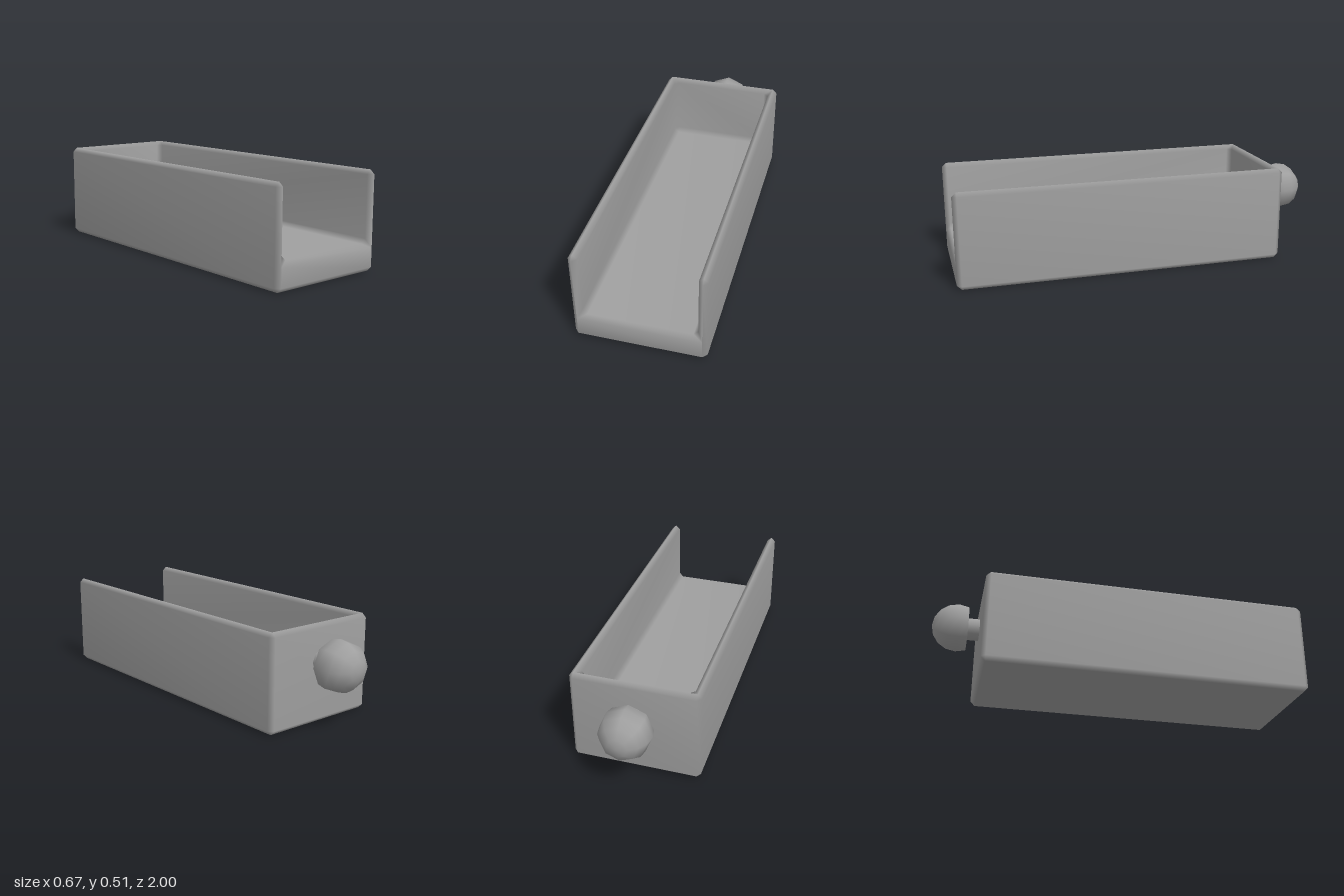
import * as THREE from 'three';
import { mergeVertices } from 'three/addons/utils/BufferGeometryUtils.js';

// Mirrors a half section [x, y, z] from the +x rim down to the floor and up to the -x rim
const mirrored = (half) => [...half, ...half.slice().reverse().map(([x, y, z]) => [-x, y, z])];
const section = (z, half) => mirrored(half.map(([x, y, pz]) => [x, y, pz ?? z]));

function createTrayGeometry() {
  const tris = [];
  const quad = (a, b, c, d) => tris.push(...a, ...b, ...c, ...a, ...c, ...d);
  const loft = (stations, inward) => {
    for (let s = 0; s < stations.length - 1; s++) {
      const p = stations[s], q = stations[s + 1];
      for (let i = 0; i < p.length - 1; i++) {
        if (inward) quad(p[i], q[i], q[i + 1], p[i + 1]);
        else quad(p[i], p[i + 1], q[i + 1], q[i]);
      }
    }
  };
  const panel = (x0, y0, z0, x1, y1, z1) =>
    quad([-x0, y0, z0], [-x1, y1, z1], [x1, y1, z1], [x0, y0, z0]);

  // Outer skin with chamfered ends
  const outer = [[0.311, 0.507], [0.333, 0.485], [0.333, 0.024], [0.311, 0]];
  const outerEnd = [[0.311, 0.485], [0.311, 0.485], [0.311, 0.024], [0.311, 0.024]];
  loft([section(1, outerEnd), section(0.976, outer), section(-0.726, outer), section(-0.75, outerEnd)], false);

  // Inner skin, open at the front, its rim meeting the back wall's ridge
  const ridge = [0.311, 0.507, -0.726];
  const innerSides = [[0.287, 0.485], [0.287, 0.167], [0.263, 0.143]];
  const innerFront = [[0.311, 0.485], [0.311, 0.485], [0.311, 0.12], [0.311, 0.12]];
  const innerBack = [ridge, [0.263, 0.485], [0.263, 0.167], [0.263, 0.167]];
  loft([
    section(1, innerFront),
    section(0.976, [[0.311, 0.507], ...innerSides]),
    section(-0.676, [ridge, ...innerSides]),
    section(-0.7, innerBack),
  ], true);

  // Floor's front edge, back wall's inner face, rim slopes and outer face
  panel(0.311, 0.12, 1, 0.311, 0.024, 1);
  panel(0.263, 0.485, -0.7, 0.263, 0.167, -0.7);
  panel(...ridge, 0.263, 0.485, -0.7);
  panel(0.311, 0.485, -0.75, ...ridge);
  panel(0.311, 0.024, -0.75, 0.311, 0.485, -0.75);

  const geometry = new THREE.BufferGeometry();
  geometry.setAttribute('position', new THREE.Float32BufferAttribute(tris, 3));
  const welded = mergeVertices(geometry, 1e-4);
  welded.computeVertexNormals();
  return welded;
}

export function createModel() {
  const group = new THREE.Group();
  const material = new THREE.MeshStandardMaterial({ color: 0x9f9f9f });
  const add = (name, geometry, z = 0, parent = group) => {
    const mesh = new THREE.Mesh(geometry, material);
    mesh.name = name;
    mesh.position.z = z;
    parent.add(mesh);
  };

  add('drawerTray', createTrayGeometry());

  // Mushroom knob on the back wall
  const knob = new THREE.Group();
  knob.name = 'knob';
  knob.position.y = 0.318;
  group.add(knob);

  const stem = new THREE.CylinderGeometry(0.062, 0.062, 0.09, 8, 1, true);
  stem.rotateX(-Math.PI / 2);
  add('knobStem', stem, -0.777, knob);

  // Domed cap, cut flat just past its widest ring
  const cap = new THREE.SphereGeometry(0.134, 8, 5, 0, Math.PI * 2, 0, 1.98);
  cap.rotateX(-Math.PI / 2);
  add('knobCap', cap, -0.866, knob);
  add('knobUnderside', new THREE.CircleGeometry(0.123, 8), -0.8128, knob);

  return group;
}
